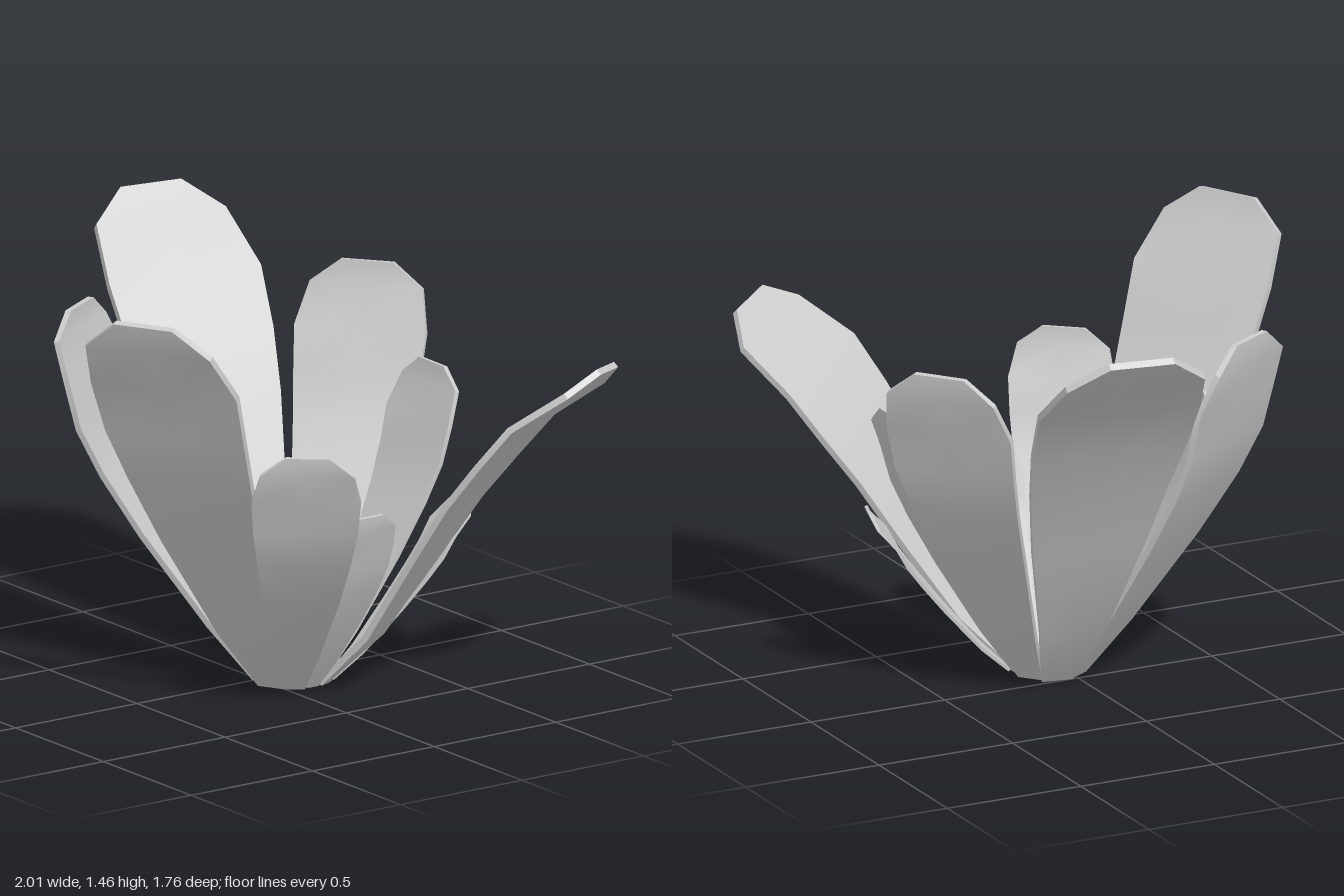
import * as THREE from 'three';
import { toCreasedNormals } from 'three/addons/utils/BufferGeometryUtils.js';

// Shared petal outline from base to tip: height, reach and half width
const RISE = [0, 0.15, 0.4, 0.57, 0.7, 0.825, 0.935, 1];
const REACH = [0, 0.17, 0.34, 0.46, 0.58, 0.71, 0.91, 1];
const HALF_WIDTH = [0.055, 0.112, 0.195, 0.24, 0.27, 0.283, 0.242, 0.113];
const STEPS = RISE.length - 1;

// A thin slab bent along the outline; bulge pushes the upper middle outwards,
// facing is the heading of the outer side in degrees (0 = front, 90 = +x),
// roll tilts the petal sideways
function petalGeometry({ base, tip, facing, bulge, roll = 0 }) {
  const a = new THREE.Vector3(base[0], 0.015, base[1]);
  const b = new THREE.Vector3(...tip);
  const size = a.distanceTo(b) / 1.75;
  const angle = THREE.MathUtils.degToRad(facing);
  const side = new THREE.Vector3(Math.cos(angle), roll, -Math.sin(angle));

  // Centre line of the petal
  const line = RISE.map((rise, i) => {
    const reach = REACH[i] + bulge * Math.sin(Math.PI * rise ** 1.5);
    return new THREE.Vector3(
      THREE.MathUtils.lerp(a.x, b.x, reach),
      THREE.MathUtils.lerp(a.y, b.y, rise),
      THREE.MathUtils.lerp(a.z, b.z, reach));
  });

  const geo = new THREE.BoxGeometry(2, STEPS, 1, 2, STEPS, 1);
  const pos = geo.attributes.position;
  for (let v = 0; v < pos.count; v++) {
    const i = Math.round(pos.getY(v) + STEPS / 2);
    const tangent = line[Math.min(i + 1, STEPS)].clone()
      .sub(line[Math.max(i - 1, 0)]).normalize();
    const normal = side.clone().cross(tangent).normalize();
    const p = line[i].clone()
      .addScaledVector(side, pos.getX(v) * HALF_WIDTH[i] * size)
      .addScaledVector(normal, pos.getZ(v) * 0.026 * size);
    pos.setXYZ(v, p.x, Math.max(p.y, 0), p.z);
  }
  return toCreasedNormals(geo, 0.6);
}

const PETALS = [
  // Large outer petals
  { name: 'largePetalRight', base: [0, -0.08], tip: [-0.98, 1.445, -0.26], facing: -99.5, bulge: 0.03 },
  { name: 'largePetalBack', base: [0.19, -0.13], tip: [0.935, 1.17, -0.76], facing: 127, bulge: 0.03, roll: -0.14 },
  { name: 'largePetalFront', base: [0.125, 0.03], tip: [0.435, 1.46, 0.785], facing: 29, bulge: 0.18 },
  // Medium petals
  { name: 'mediumPetalFrontRight', base: [0.01, 0], tip: [-0.445, 1.27, 0.415], facing: -60, bulge: 0.29 },
  { name: 'mediumPetalBackRight', base: [0.05, -0.15], tip: [-0.32, 1.265, -0.68], facing: -141, bulge: 0.26 },
  { name: 'mediumPetalBack', base: [0.11, -0.17], tip: [0.08, 1.01, -0.66], facing: 179, bulge: 0.24 },
  { name: 'mediumPetalLeft', base: [0.19, -0.01], tip: [0.695, 0.98, 0.3], facing: 51, bulge: 0.27 },
  { name: 'mediumPetalFront', base: [0.07, 0.01], tip: [-0.05, 0.975, 0.43], facing: -9, bulge: 0.24 },
  // Small petals
  { name: 'smallPetalBack', base: [0.16, -0.18], tip: [0.295, 0.6, -0.635], facing: 163, bulge: 0.18 },
  { name: 'smallPetalLeft', base: [0.21, -0.07], tip: [0.545, 0.68, -0.068], facing: 90, bulge: 0.24 },
];

export function createModel() {
  const group = new THREE.Group();
  group.name = 'flower';
  const material = new THREE.MeshStandardMaterial({ color: 0xcccccc });

  for (const spec of PETALS) {
    const petal = new THREE.Mesh(petalGeometry(spec), material);
    petal.name = spec.name;
    group.add(petal);
  }

  // Small disc closing the base of the flower
  const disc = new THREE.Mesh(
    toCreasedNormals(new THREE.CylinderGeometry(0.105, 0.1, 0.02, 8), 0.6), material);
  disc.name = 'centreDisc';
  disc.position.set(0.1, 0.018, -0.065);
  group.add(disc);

  return group;
}
